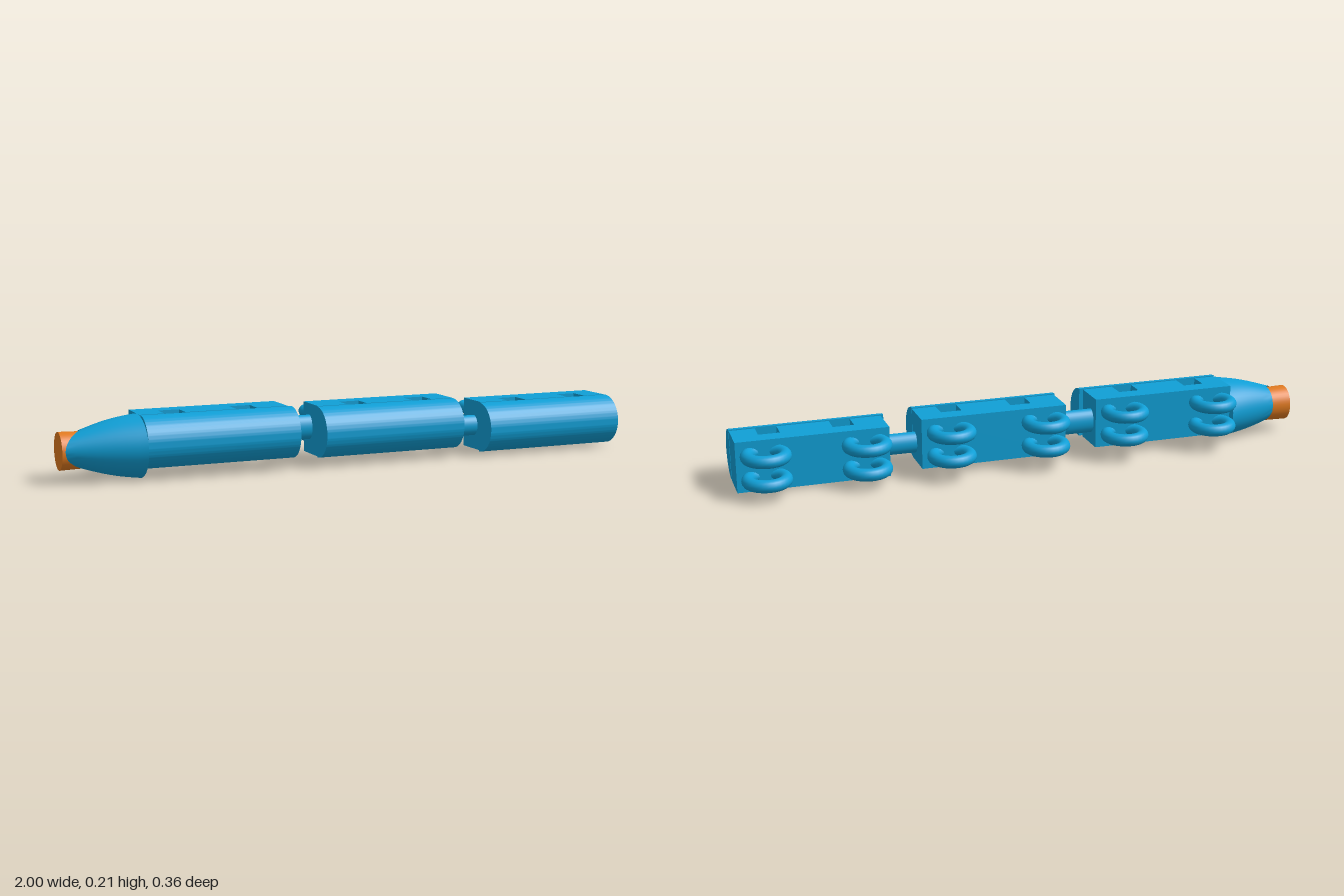
import * as THREE from 'three';
import { toCreasedNormals } from 'three/addons/utils/BufferGeometryUtils.js';

const blue = new THREE.MeshStandardMaterial({ color: 0x109fd6, side: THREE.DoubleSide });
const orange = new THREE.MeshStandardMaterial({ color: 0xe07a20 });

function part(parent, name, geometry, material = blue) {
  const mesh = new THREE.Mesh(geometry, material);
  mesh.name = name;
  parent.add(mesh);
  return mesh;
}

// Carriage lying on its side: notched body, separate half-round roof, ring wheels
function carriage(x, roofX, roofEnd, y, z, notchX) {
  const car = new THREE.Group();
  car.name = 'carriage';
  const len = 0.51, height = 0.173, front = 0.063;

  // Body outline in plan, with two window notches open towards the roof
  const plan = new THREE.Shape();
  plan.moveTo(0, front);
  plan.lineTo(0, -front);
  for (const n of [notchX, notchX + 0.247]) {
    plan.lineTo(n, -front);
    plan.lineTo(n, 0.005);
    plan.lineTo(n + 0.072, 0.005);
    plan.lineTo(n + 0.072, -front);
  }
  plan.lineTo(len, -front);
  plan.lineTo(len, front);
  plan.closePath();
  const body = new THREE.ExtrudeGeometry(plan, { depth: height, bevelEnabled: false });
  body.rotateX(-Math.PI / 2);
  part(car, 'body', body).position.set(x, y - height / 2, z);

  // Half-round roof
  const arc = new THREE.Shape();
  arc.absarc(0, 0, height / 2, Math.PI / 2, Math.PI * 1.5);
  arc.closePath();
  const roof = new THREE.ExtrudeGeometry(arc, { depth: roofEnd - roofX, bevelEnabled: false, curveSegments: 32 });
  roof.rotateY(Math.PI / 2);
  part(car, 'roof', toCreasedNormals(roof, 0.6)).position.set(roofX, y, z + 0.074);

  // Ring wheels, two pairs
  const ring = new THREE.TorusGeometry(0.062, 0.021, 16, 32).rotateX(Math.PI / 2);
  for (const wx of [0.085, 0.417]) {
    for (const side of [-1, 1]) {
      part(car, 'wheel', ring).position.set(x + wx, y + 0.003 + side * 0.041, z - 0.1);
    }
  }
  return car;
}

// Tapered nose lofted from an oval base to a lip that reaches further on the roof side
function noseGeometry() {
  const seg = 48, rows = 8, pos = [], index = [];
  for (let i = 0; i <= rows; i++) {
    const t = i / rows;
    for (let j = 0; j <= seg; j++) {
      const a = (j / seg) * Math.PI * 2, c = Math.cos(a), s = Math.sin(a);
      const endX = -0.93 - 0.06 * Math.max(0, c) ** 1.3;
      const ry = THREE.MathUtils.lerp(0.104, 0.06, t) + 0.007 * Math.sin(Math.PI * t);
      const rz = THREE.MathUtils.lerp(0.13, 0.058, t);
      pos.push(
        THREE.MathUtils.lerp(-0.745, endX, t),
        0.107 + ry * s,
        THREE.MathUtils.lerp(0.035, 0.018, t) + rz * c
      );
    }
  }
  const row = seg + 1;
  for (let i = 0; i < rows; i++) {
    for (let j = 0; j < seg; j++) {
      const a = i * row + j, b = a + row;
      index.push(a, a + 1, b, b, a + 1, b + 1);
    }
  }
  // Flat base
  const centre = pos.length / 3;
  pos.push(-0.745, 0.107, 0.035);
  for (let j = 0; j < seg; j++) index.push(centre, j + 1, j);
  const g = new THREE.BufferGeometry();
  g.setAttribute('position', new THREE.Float32BufferAttribute(pos, 3));
  g.setIndex(index);
  return toCreasedNormals(g, 0.7);
}

export function createModel() {
  const model = new THREE.Group();
  model.name = 'toyTrain';

  model.add(
    carriage(-0.745, -0.745, -0.225, 0.1245, 0, 0.082),
    carriage(-0.125, -0.132, 0.383, 0.117, 0, 0.108),
    carriage(0.49, 0.478, 1.0, 0.098, 0.019, 0.106)
  );

  part(model, 'nose', noseGeometry());

  // Coloured nose tip
  const tip = new THREE.CylinderGeometry(0.062, 0.058, 0.15, 40).rotateZ(Math.PI / 2);
  tip.scale(1, 1, 0.93);
  part(model, 'noseTip', tip, orange).position.set(-0.925, 0.103, 0.017);

  // Oval couplers between carriages
  for (const [x, y, z, r] of [[-0.18, 0.122, -0.014, 0.042], [0.437, 0.096, 0.03, 0.036]]) {
    const rod = new THREE.CylinderGeometry(r, r, 0.13, 32).rotateZ(Math.PI / 2);
    rod.scale(1, 1, 0.029 / r);
    part(model, 'coupler', rod).position.set(x, y, z);
  }
  return model;
}
